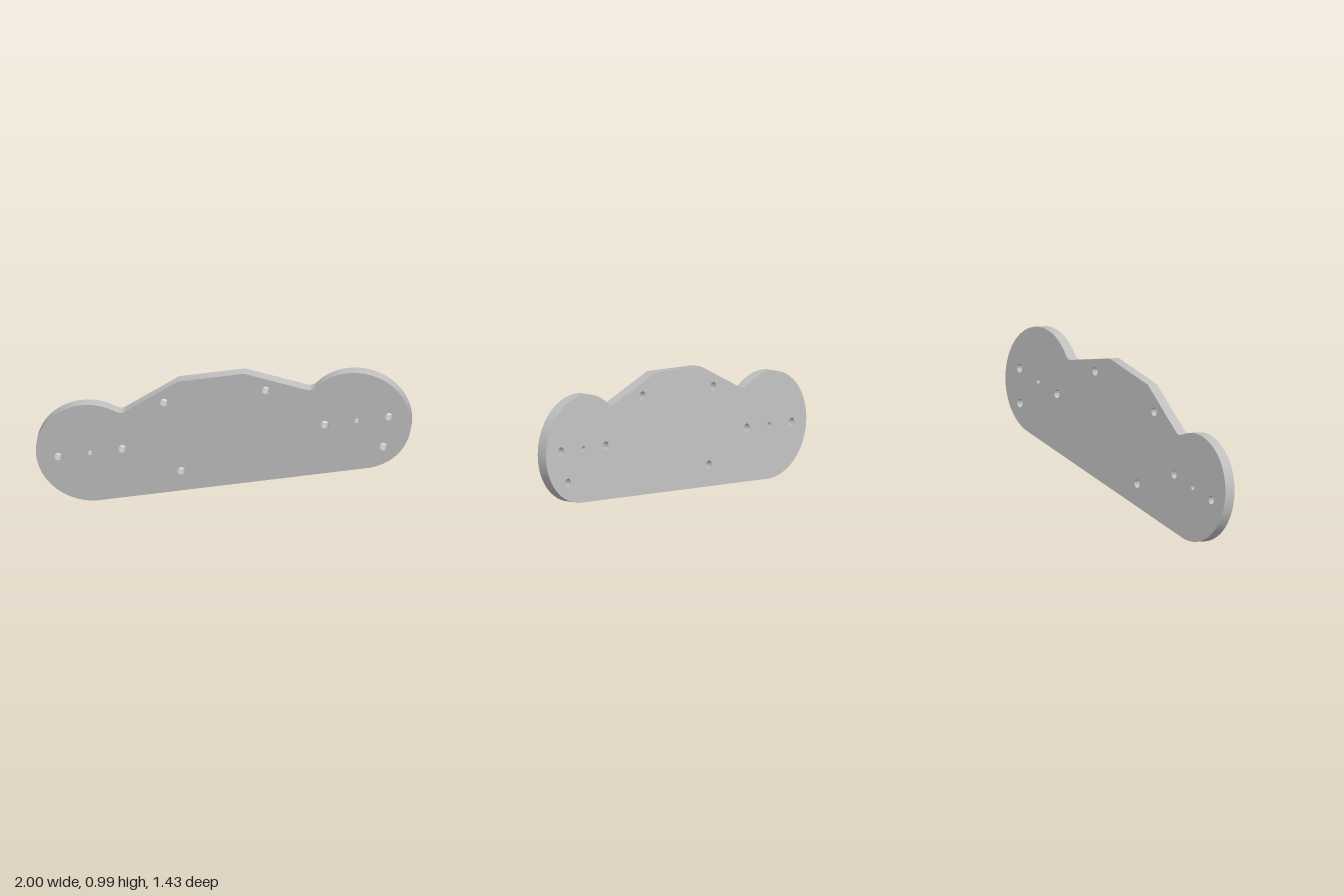
import * as THREE from 'three';
import { toCreasedNormals } from 'three/addons/utils/BufferGeometryUtils.js';

const THICKNESS = 0.072;
const LOBE_RADIUS = 0.345;
const LOBE_X = 0.8615; // lobe centres at +-LOBE_X
const NECK_ANGLE = THREE.MathUtils.degToRad(52.6); // where the fillet meets a lobe

// Outline: two round lobes joined by a flat bottom and a raised middle
function plateOutline() {
  const nx = LOBE_X - LOBE_RADIUS * Math.cos(NECK_ANGLE);
  const ny = LOBE_RADIUS * Math.sin(NECK_ANGLE);
  const shape = new THREE.Shape();
  shape.moveTo(-LOBE_X, -LOBE_RADIUS);
  shape.lineTo(LOBE_X, -LOBE_RADIUS);
  shape.absarc(LOBE_X, 0, LOBE_RADIUS, -Math.PI / 2, Math.PI - NECK_ANGLE, false);
  shape.quadraticCurveTo(0.615, 0.246, 0.585, 0.263);
  shape.lineTo(0.213, 0.43);
  shape.lineTo(-0.213, 0.43);
  shape.lineTo(-0.585, 0.263);
  shape.quadraticCurveTo(-0.615, 0.246, -nx, ny);
  shape.absarc(-LOBE_X, 0, LOBE_RADIUS, NECK_ANGLE, Math.PI * 1.5, false);
  return shape;
}

function addHole(shape, x, y, radius) {
  const hole = new THREE.Path();
  hole.absarc(x, y, radius, 0, Math.PI * 2, true);
  shape.holes.push(hole);
}

export function createModel() {
  const group = new THREE.Group();
  const grey = new THREE.MeshStandardMaterial({ color: 0xbfbfbf });
  grey.name = 'plain grey';

  const shape = plateOutline();
  // Mirrored holes: a row of three in each lobe and one near the top
  for (const side of [-1, 1]) {
    addHole(shape, side * LOBE_X, 0, 0.0165);
    addHole(shape, side * (LOBE_X - 0.2075), 0, 0.027);
    addHole(shape, side * (LOBE_X + 0.2075), 0, 0.027);
    addHole(shape, side * 0.329, 0.293, 0.027);
  }
  // Lower holes
  addHole(shape, -0.312, -0.207, 0.027);
  addHole(shape, 0.994, -0.207, 0.027);

  const extruded = new THREE.ExtrudeGeometry(shape, {
    depth: THICKNESS, bevelEnabled: false, curveSegments: 40,
  });
  extruded.translate(0, 0, -THICKNESS / 2);
  const plate = new THREE.Mesh(toCreasedNormals(extruded, Math.PI / 7), grey);
  plate.name = 'mountingPlate';

  // Tilt the plate: its length and face directions in space
  const face = new THREE.Vector3(-0.557, -0.117, 0.822).normalize();
  const length = new THREE.Vector3(0.804, 0.174, 0.569);
  const up = new THREE.Vector3().crossVectors(face, length).normalize();
  length.crossVectors(up, face);
  plate.quaternion.setFromRotationMatrix(new THREE.Matrix4().makeBasis(length, up, face));
  plate.position.set(0, 0.499, 0);

  group.add(plate);
  return group;
}
